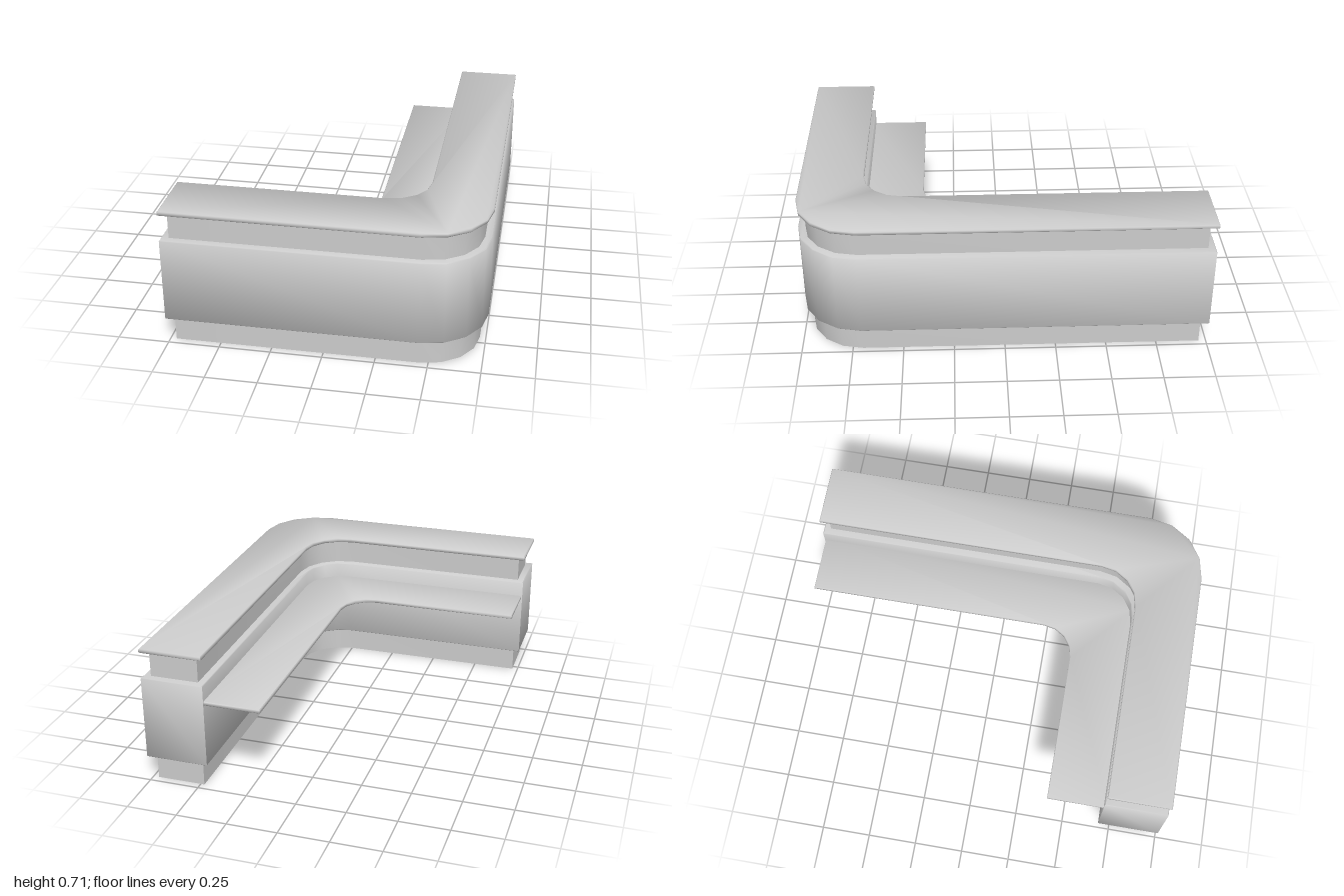
import * as THREE from 'three';
import { toCreasedNormals } from 'three/addons/utils/BufferGeometryUtils.js';

const material = new THREE.MeshStandardMaterial({ color: 0xcccccc });

// L-shaped plan: outer corner at (xo, zo), inner corner at (xi, zi), arms ending at xEnd and zEnd
function planShape({ xEnd, zEnd, xo, zo, ro, xi, zi, ri }) {
  const s = new THREE.Shape();
  s.moveTo(xEnd, zo);
  s.lineTo(xo - ro, zo);
  s.absarc(xo - ro, zo - ro, ro, Math.PI / 2, 0, true);
  s.lineTo(xo, zEnd);
  s.lineTo(xi, zEnd);
  s.lineTo(xi, zi - ri);
  s.absarc(xi - ri, zi - ri, ri, 0, Math.PI / 2, false);
  s.lineTo(xEnd, zi);
  s.closePath();
  return s;
}

// Extrudes a plan upwards from y0 to y1 with a fine bevel
function layer(name, plan, y0, y1, bevel) {
  const geometry = new THREE.ExtrudeGeometry(planShape(plan), {
    depth: y1 - y0 - 2 * bevel,
    curveSegments: 2,
    bevelEnabled: bevel > 0,
    bevelSegments: 1,
    bevelSize: bevel,
    bevelThickness: bevel,
    bevelOffset: -bevel,
  });
  geometry.rotateX(Math.PI / 2);
  geometry.translate(0, y1 - bevel, 0);
  const mesh = new THREE.Mesh(toCreasedNormals(geometry, 0.9), material);
  mesh.name = name;
  return mesh;
}

export function createModel() {
  const group = new THREE.Group();
  group.name = 'cornerCounter';

  const full = { xEnd: -0.757, zEnd: -1, xo: 0.757, zo: 1, ro: 0.3, xi: 0.445, zi: 0.685, ri: 0.2 };
  // Recessed layers are set in on every side
  const d = 0.036;
  const recessed = {
    xEnd: full.xEnd + d, zEnd: full.zEnd + d,
    xo: full.xo - d, zo: full.zo - d, ro: full.ro - d,
    xi: full.xi + d, zi: full.zi + d, ri: full.ri + d,
  };
  // Desk is tucked into the inner face of the body
  const desk = { xEnd: -0.75, zEnd: -0.996, xo: 0.47, zo: 0.71, ro: 0.225, xi: 0.165, zi: 0.4, ri: 0.16 };

  group.add(
    layer('plinth', recessed, 0, 0.135, 0),
    layer('body', full, 0.13, 0.555, 0.004),
    layer('neck', recessed, 0.55, 0.69, 0),
    layer('counterTop', full, 0.685, 0.707, 0.004),
    layer('innerDesk', desk, 0.455, 0.475, 0.003),
  );
  return group;
}
